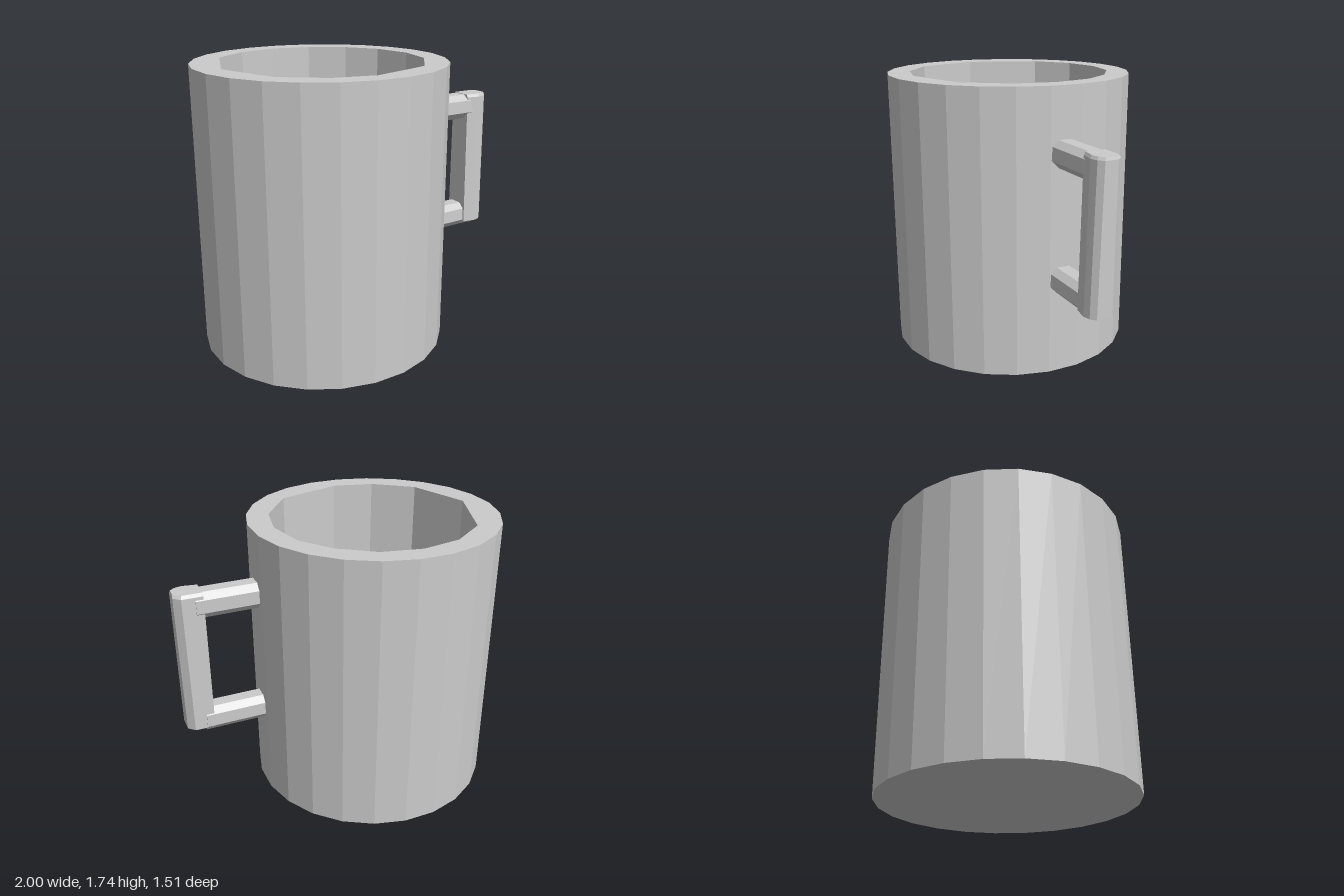
import * as THREE from 'three';

const HEIGHT = 1.74, FLOOR = 0.27, CENTRE_X = -0.247, RADIUS = 0.76, SIDES = 24;

// Skin between equal-length rings; rings run counter-clockwise about the travel direction.
function loft(rings, capStart, capEnd) {
  const pos = [];
  const tri = (...pts) => pts.forEach((p) => pos.push(p.x, p.y, p.z));
  const n = rings[0].length;
  const middle = (ring) => ring.reduce((s, p) => s.add(p), new THREE.Vector3()).divideScalar(n);
  const first = rings[0], last = rings[rings.length - 1];
  for (let i = 0; i < n; i++) {
    const j = (i + 1) % n;
    for (let k = 0; k < rings.length - 1; k++) {
      const a = rings[k], b = rings[k + 1];
      tri(a[i], a[j], b[j]);
      tri(a[i], b[j], b[i]);
    }
    if (capStart) tri(middle(first), first[j], first[i]);
    if (capEnd) tri(middle(last), last[i], last[j]);
  }
  const geo = new THREE.BufferGeometry();
  geo.setAttribute('position', new THREE.Float32BufferAttribute(pos, 3));
  geo.computeVertexNormals();
  return geo;
}

export function createModel() {
  const model = new THREE.Group();
  model.name = 'mug';
  const material = new THREE.MeshStandardMaterial({ color: 0xcccccc, flatShading: true });
  const add = (name, geometry, parent) => {
    const mesh = new THREE.Mesh(geometry, material);
    mesh.name = name;
    parent.add(mesh);
  };
  const level = (pts, y) => pts.map(([x, z]) => new THREE.Vector3(x, y, z));

  // Body outlines as x, z pairs: regular outside, uneven faceted inside
  const outer = Array.from({ length: SIDES }, (_, i) => {
    const t = ((i + 0.5) / SIDES) * Math.PI * 2;
    return [CENTRE_X + RADIUS * Math.sin(t), RADIUS * Math.cos(t)];
  });
  const inner = [
    [-0.74, 0.385], [-0.51, 0.565], [-0.26, 0.625], [0.14, 0.5], [0.33, 0.245], [0.38, 0],
    [0.33, -0.25], [0.2, -0.435], [0, -0.58], [-0.24, -0.63], [-0.48, -0.585], [-0.7, -0.43], [-0.87, 0],
  ];

  // Outer wall with base, and cavity with floor
  const body = new THREE.Group();
  body.name = 'body';
  model.add(body);
  add('outerWall', loft([level(outer, 0), level(outer, HEIGHT)], true, false), body);
  add('cavity', loft([level(inner, HEIGHT), level(inner, FLOOR)], false, true), body);

  // Flat rim between the two outlines
  const flat = (pts) => pts.map(([x, z]) => new THREE.Vector2(x, -z));
  const rimShape = new THREE.Shape(flat(outer));
  rimShape.holes.push(new THREE.Path(flat(inner)));
  add('rim', new THREE.ShapeGeometry(rimShape).rotateX(-Math.PI / 2).translate(0, HEIGHT, 0), body);

  // Handle arms: bevelled bars from the wall to the grip
  const handle = new THREE.Group();
  handle.name = 'handle';
  model.add(handle);
  const armProfile = [
    [0.08, -0.03], [0.08, 0.05], [0.045, 0.09], [-0.035, 0.095],
    [-0.08, 0.05], [-0.08, -0.03], [-0.04, -0.065], [0.04, -0.065],
  ];
  const arm = (name, y) => {
    const ring = (x) => armProfile.map(([dy, z]) => new THREE.Vector3(x, y + dy, z));
    add(name, loft([ring(0.44), ring(0.88)], true, true), handle);
  };
  arm('upperArm', 1.355);
  arm('lowerArm', 0.592);

  // Upright grip: square towards the body, bevelled outside, chamfered at both ends
  const gripRing = (y, front, back, outerX, bevel) => level([
    [0.832, front - 0.015], [0.92, front], [outerX - 0.03, front - bevel * 0.3], [outerX, front - bevel],
    [outerX, back + bevel], [outerX - 0.04, back], [0.832, back],
  ], y);
  add('grip', loft([
    gripRing(0.512, 0.055, -0.015, 0.93, 0.02),
    gripRing(0.545, 0.118, -0.06, 0.995, 0.04),
    gripRing(1.42, 0.1, -0.06, 1, 0.04),
    gripRing(1.438, 0.09, -0.045, 0.995, 0.035),
  ], true, true), handle);

  return model;
}
